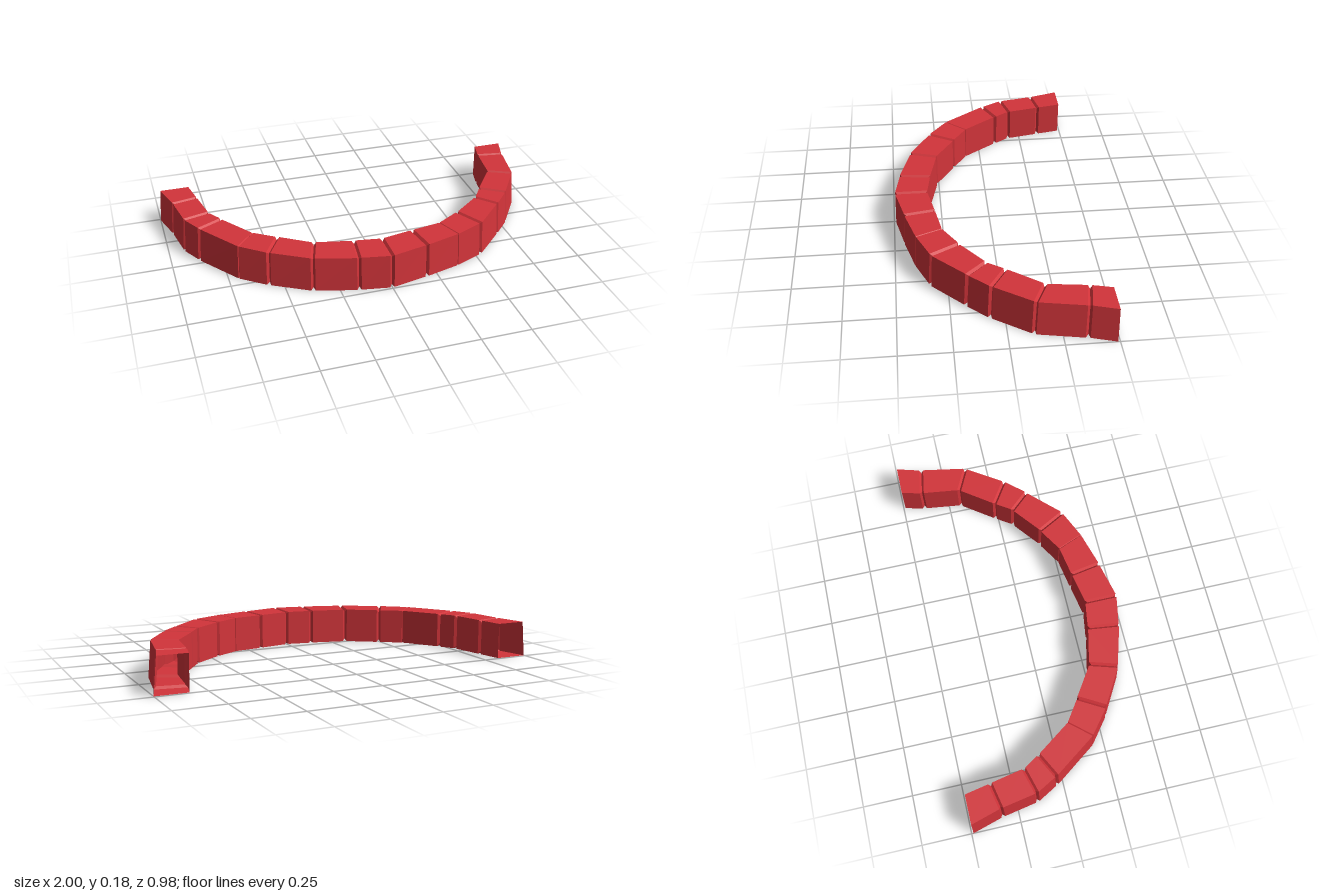
import * as THREE from 'three';

const HEIGHT = 0.18;
const GROOVE_HALF = 0.011;
const GROOVE_DEPTH = 0.012;

// Stations along the arc: outer x, z; inner x, z; groove strength
const STATIONS = [
  [-1.0, -0.49, -0.835, -0.49, 0],
  [-0.955, -0.33, -0.81, -0.36, 1],
  [-0.92, -0.145, -0.775, -0.185, 1],
  [-0.86, -0.03, -0.725, -0.10, 1],
  [-0.70, 0.195, -0.60, 0.08, 0.3],
  [-0.57, 0.295, -0.49, 0.155, 1],
  [-0.375, 0.405, -0.33, 0.257, 1],
  [-0.16, 0.465, -0.14, 0.30, 1],
  [0, 0.49, 0, 0.32, 1],
  [0.195, 0.45, 0.167, 0.29, 1],
  [0.38, 0.40, 0.325, 0.262, 0.3],
  [0.53, 0.335, 0.45, 0.187, 1],
  [0.695, 0.175, 0.60, 0.07, 1],
  [0.79, 0.07, 0.66, -0.015, 1],
  [0.915, -0.12, 0.78, -0.185, 1],
  [0.963, -0.36, 0.81, -0.385, 1],
  [1.0, -0.49, 0.835, -0.49, 0],
];

// Four-cornered ring; the outer wall leans out a little towards the bottom
function makeRing([ox, oz, ix, iz], shift, inset) {
  const outer = new THREE.Vector3(ox, 0, oz);
  const inner = new THREE.Vector3(ix, 0, iz);
  const out = outer.clone().sub(inner).normalize();
  const along = new THREE.Vector3(out.z, 0, -out.x).multiplyScalar(shift);
  const lean = 0.004 + 0.012 * Math.abs(ox);
  const corner = (base, offset, y) => base.clone().addScaledVector(out, offset).add(along).setY(y);
  return [
    corner(outer, -lean - inset, HEIGHT - inset),
    corner(inner, inset, HEIGHT - inset),
    corner(inner, inset, inset),
    corner(outer, -inset, inset),
  ];
}

export function createModel() {
  const group = new THREE.Group();
  group.name = 'segmentedArc';

  // Each joint is a narrow V groove: full ring, sunken ring, full ring
  const rings = [];
  for (const s of STATIONS) {
    const g = s[4];
    if (g === 0) rings.push(makeRing(s, 0, 0));
    else {
      rings.push(makeRing(s, -GROOVE_HALF * g, 0));
      rings.push(makeRing(s, 0, GROOVE_DEPTH * g));
      rings.push(makeRing(s, GROOVE_HALF * g, 0));
    }
  }

  // Skin the rings into a hollow, open-ended square tube
  const points = [];
  for (let i = 0; i < rings.length - 1; i++) {
    for (let k = 0; k < 4; k++) {
      const n = (k + 1) % 4;
      const a = rings[i][k], b = rings[i][n], c = rings[i + 1][n], d = rings[i + 1][k];
      points.push(a, c, b, a, d, c);
    }
  }
  const geometry = new THREE.BufferGeometry().setFromPoints(points);
  geometry.computeVertexNormals();

  const material = new THREE.MeshStandardMaterial({
    color: 0xd2343a, flatShading: true, side: THREE.DoubleSide,
  });
  const tube = new THREE.Mesh(geometry, material);
  tube.name = 'curvedSquareTube';
  group.add(tube);
  return group;
}
